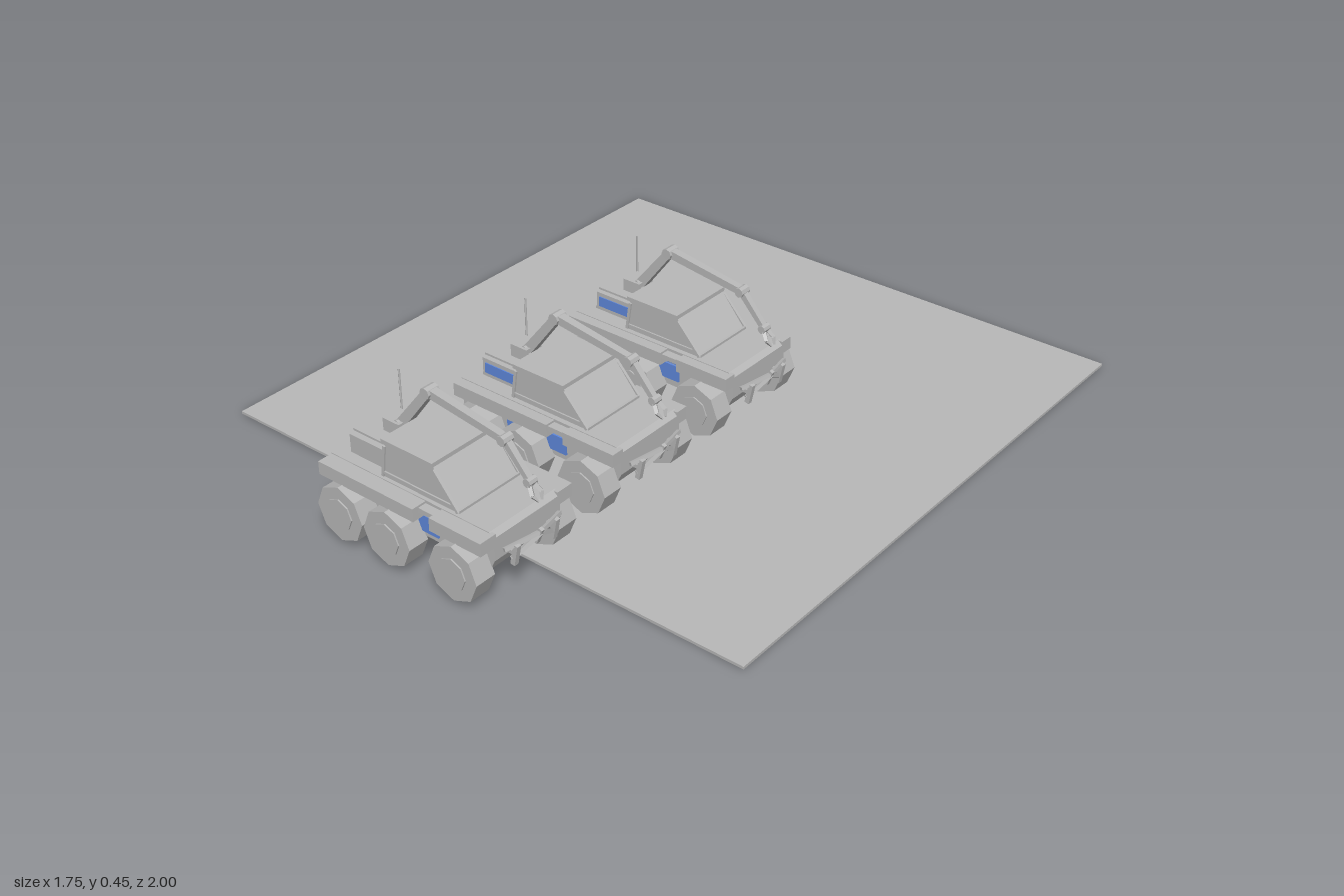
import * as THREE from 'three';

const grey = new THREE.MeshStandardMaterial({ color: 0xb8b8b8, flatShading: true });
grey.name = 'light grey';
const blue = new THREE.MeshStandardMaterial({ color: 0x5f88dc });
blue.name = 'blue';

function add(parent, name, geometry, material = grey) {
  const mesh = new THREE.Mesh(geometry, material);
  mesh.name = name;
  parent.add(mesh);
  return mesh;
}

// Box given by its limits on each axis
function box(parent, name, [x0, x1], [y0, y1], [z0, z1], material) {
  const mesh = add(parent, name, new THREE.BoxGeometry(x1 - x0, y1 - y0, z1 - z0), material);
  mesh.position.set((x0 + x1) / 2, (y0 + y1) / 2, (z0 + z1) / 2);
  return mesh;
}

// Side profile in x and y, extruded across the vehicle
function profile(parent, name, points, half) {
  const shape = new THREE.Shape(points.map(([x, y]) => new THREE.Vector2(x, y)));
  const geometry = new THREE.ExtrudeGeometry(shape, { depth: 2 * half, bevelEnabled: false });
  return add(parent, name, geometry.translate(0, 0, -half));
}

// Square or round bar between two points
function bar(parent, name, from, to, r0, r1 = r0, sides = 4) {
  const a = new THREE.Vector3(...from), b = new THREE.Vector3(...to);
  const geometry = new THREE.CylinderGeometry(r1, r0, a.distanceTo(b), sides);
  if (sides === 4) geometry.rotateY(Math.PI / 4);
  const mesh = add(parent, name, geometry);
  mesh.position.copy(a).add(b).multiplyScalar(0.5);
  mesh.quaternion.setFromUnitVectors(new THREE.Vector3(0, 1, 0), b.sub(a).normalize());
  return mesh;
}

function axle(parent, name, x, y, z, radius, width, sides) {
  const mesh = add(parent, name, new THREE.CylinderGeometry(radius, radius, width, sides).rotateX(Math.PI / 2));
  mesh.position.set(x, y, z);
  return mesh;
}

function createArm() {
  const arm = new THREE.Group();
  arm.name = 'craneArm';
  const joints = [[-0.145, 0.295], [-0.04, 0.43], [0.208, 0.393], [0.285, 0.305]].map(([x, y]) => [x, y, 0]);
  box(arm, 'turret', [-0.185, -0.128], [0.265, 0.31], [-0.03, 0.03]);
  [0.02, 0.017, 0.013].forEach((r, i) => bar(arm, 'armSegment', joints[i], joints[i + 1], r, r * 0.85));
  joints.forEach(([x, y], i) => axle(arm, 'armJoint', x, y, 0, 0.018 - i * 0.002, 0.044 - i * 0.005, 8));
  // Two-fingered gripper
  for (const s of [-1, 1]) {
    bar(arm, 'gripperFinger', [0.285, 0.305, s * 0.005], [0.305, 0.278, s * 0.016], 0.007);
    bar(arm, 'gripperTip', [0.305, 0.278, s * 0.016], [0.315, 0.262, s * 0.006], 0.006, 0.003);
  }
  return arm;
}

function createCabin(roofY, half) {
  const cabin = new THREE.Group();
  cabin.name = 'cabin';
  profile(cabin, 'cabinShell', [[-0.115, 0.205], [0.148, 0.205], [0.068, roofY - 0.012], [-0.1, roofY - 0.012]], half);
  box(cabin, 'roof', [-0.108, 0.068], [roofY - 0.012, roofY], [-half - 0.004, half + 0.004]);
  // Raised frames round the side windows and windscreen
  const top = roofY - 0.018;
  for (const s of [-1, 1]) {
    const z = s * (half + 0.001);
    bar(cabin, 'windowSill', [-0.11, 0.222, z], [0.134, 0.222, z], 0.005);
    bar(cabin, 'rearPillar', [-0.11, 0.21, z], [-0.098, top, z], 0.006);
    bar(cabin, 'frontPillar', [0.146, 0.21, z], [0.068, top, z], 0.006);
  }
  bar(cabin, 'windscreenSill', [0.146, 0.212, -half], [0.146, 0.212, half], 0.005);
  return cabin;
}

function createRover({ roofY, cabinHalf, boxHalf, fenderZ, blueBox }) {
  const rover = new THREE.Group();
  rover.name = 'rover';

  // Hull
  profile(rover, 'lowerHull', [[-0.24, 0.11], [-0.2, 0.072], [0.2, 0.072], [0.25, 0.11]], 0.09);
  profile(rover, 'hull', [[-0.282, 0.115], [-0.25, 0.1], [0.255, 0.1], [0.27, 0.13], [0.27, 0.195], [0.255, 0.208], [-0.287, 0.208], [-0.287, 0.165]], 0.118);

  // Wheels, fenders and side panels
  for (const s of [-1, 1]) {
    for (const x of [-0.204, -0.038, 0.187]) {
      axle(rover, 'wheel', x, 0.09, s * 0.148, 0.08, 0.064, 8);
      axle(rover, 'wheelHub', x, 0.09, s * 0.181, 0.045, 0.006, 8);
      axle(rover, 'wheelAxle', x, 0.09, s * 0.1, 0.025, 0.06, 8);
    }
    for (const [x0, x1] of [[-0.287, 0.045], [0.1, 0.27]]) {
      const z = [s * 0.11, s * fenderZ].sort((a, b) => a - b);
      box(rover, 'fender', [x0, x1], [0.168, 0.206], z);
    }
    box(rover, 'sideStep', [0.045, 0.1], [0.186, 0.2], [s * 0.13 - 0.014, s * 0.13 + 0.014]);
    box(rover, 'sidePanel', [-0.12, 0.087], [0.115, 0.163], [s * 0.12 - 0.003, s * 0.12 + 0.003], blue);
    box(rover, 'upperSidePanel', [0.047, 0.099], [0.168, 0.185], [s * 0.12 - 0.003, s * 0.12 + 0.003], blue);
  }

  // Rear equipment box
  const outline = [[-0.268, 0.6], [-0.268, -0.6], [-0.245, -1], [-0.108, -1], [-0.108, 1], [-0.245, 1]];
  const shape = new THREE.Shape(outline.map(([x, z]) => new THREE.Vector2(x, z * boxHalf)));
  const boxGeometry = new THREE.ExtrudeGeometry(shape, { depth: 0.054, bevelEnabled: false });
  add(rover, 'equipmentBox', boxGeometry.rotateX(-Math.PI / 2)).position.y = 0.214;
  box(rover, 'equipmentBase', [-0.255, -0.1], [0.205, 0.216], [-boxHalf * 0.9, boxHalf * 0.9]);
  box(rover, 'equipmentLid', [-0.25, -0.115], [0.268, 0.274], [-boxHalf * 0.8, boxHalf * 0.8]);
  if (blueBox) {
    for (const s of [-1, 1]) {
      const z = s * boxHalf;
      box(rover, 'equipmentPanel', [-0.235, -0.125], [0.226, 0.256], [z - 0.003, z + 0.003], blue);
    }
  }
  bar(rover, 'antenna', [-0.205, 0.265, -0.055], [-0.205, 0.405, -0.055], 0.003, 0.003, 6);

  // Front bumper bars
  for (const s of [-1, 1]) {
    bar(rover, 'bumperBar', [0.31, 0.165, 0], [0.285, 0.12, s * 0.075], 0.008);
    bar(rover, 'bumperTopBar', [0.312, 0.17, 0], [0.285, 0.16, s * 0.1], 0.007);
    bar(rover, 'bumperPost', [0.288, 0.105, s * 0.07], [0.3, 0.165, s * 0.07], 0.01);
    bar(rover, 'bumperStrut', [0.262, 0.14, s * 0.07], [0.295, 0.14, s * 0.07], 0.008);
  }
  bar(rover, 'bumperNose', [0.298, 0.135, 0], [0.316, 0.18, 0], 0.008);

  rover.add(createCabin(roofY, cabinHalf), createArm());
  return rover;
}

export function createModel() {
  const model = new THREE.Group();
  model.name = 'roverTeam';
  box(model, 'groundPlate', [-0.876, 0.876], [0, 0.008], [-1, 0.752]);

  // Three rovers in a row, the outermost one with the wider body
  const slim = { roofY: 0.312, cabinHalf: 0.103, boxHalf: 0.077, fenderZ: 0.15, blueBox: true };
  const wide = { roofY: 0.32, cabinHalf: 0.107, boxHalf: 0.09, fenderZ: 0.164, blueBox: false };
  [slim, slim, wide].forEach((kind, i) => {
    const rover = createRover(kind);
    rover.position.z = -0.124 + i * 0.47;
    model.add(rover);
  });
  return model;
}
